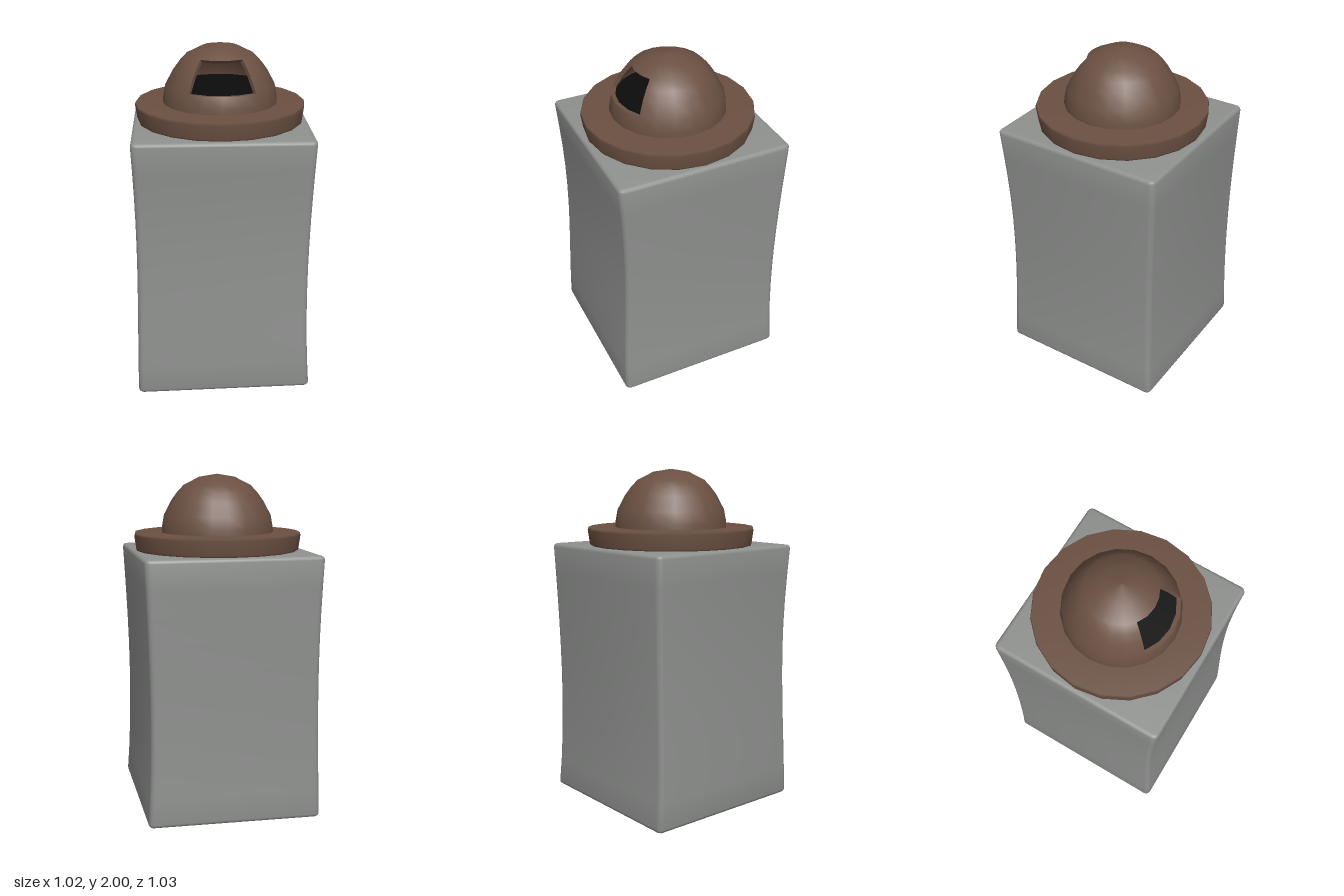
import * as THREE from 'three';
import { toCreasedNormals } from 'three/addons/utils/BufferGeometryUtils.js';

const stone = new THREE.MeshStandardMaterial({ color: 0x8f918f });
stone.name = 'grey stone';
const clay = new THREE.MeshStandardMaterial({ color: 0x6b5042, side: THREE.DoubleSide });
clay.name = 'brown clay';
const dark = new THREE.MeshStandardMaterial({ color: 0x0c0c0c, side: THREE.DoubleSide });
dark.name = 'black soot';

const SIDES = 20;
const BODY_H = 1.555;

function part(name, geometry, material) {
  const mesh = new THREE.Mesh(geometry, material);
  mesh.name = name;
  return mesh;
}

const lathe = (points) =>
  new THREE.LatheGeometry(points.map(([r, y]) => new THREE.Vector2(r, y)), SIDES);

// Square block with softened edges and a slightly worn waist
function pedestalGeometry() {
  const b = 0.022, w = 0.512 - b, d = 0.518 - b;
  const c = 0.012;
  const s = new THREE.Shape();
  s.moveTo(-w + c, -d);
  s.lineTo(w - c, -d);
  s.quadraticCurveTo(w, -d, w, -d + c);
  s.lineTo(w, d - c);
  s.quadraticCurveTo(w, d, w - c, d);
  s.lineTo(-w + c, d);
  s.quadraticCurveTo(-w, d, -w, d - c);
  s.lineTo(-w, -d + c);
  s.quadraticCurveTo(-w, -d, -w + c, -d);
  const geo = new THREE.ExtrudeGeometry(s, {
    depth: BODY_H - 2 * b, steps: 10, curveSegments: 3,
    bevelThickness: b, bevelSize: b, bevelSegments: 3,
  });
  geo.translate(0, 0, b).rotateX(-Math.PI / 2);
  const p = geo.attributes.position;
  for (let i = 0; i < p.count; i++) {
    const x = p.getX(i), y = p.getY(i), z = p.getZ(i);
    const t = THREE.MathUtils.clamp(y / BODY_H, 0, 1);
    const low = Math.sin(Math.PI * Math.pow(t, 0.8));
    const high = Math.sin(Math.PI * Math.pow(t, 1.35));
    p.setX(i, x * (1 - (x > 0 ? 0.05 * low : 0.03 * high)));
    p.setZ(i, z * (1 - (z > 0 ? 0.06 * high : 0.04 * low)));
    p.setY(i, y + 0.018 * (x + 0.5) * (1 - t));
  }
  return toCreasedNormals(geo, 0.7);
}

// Dome rows from base to crown; the opening lies between rows 2 and 5
const outer = [[0.335, 1.65], [0.333, 1.69], [0.32, 1.76], [0.275, 1.845],
  [0.24, 1.892], [0.2, 1.935], [0.105, 1.983], [0, 2]];
const inner = [[0.31, 1.65], [0.308, 1.69], [0.296, 1.76], [0.252, 1.835],
  [0.22, 1.878], [0.182, 1.918], [0.095, 1.962], [0, 1.978]];
const LOW = 2, HIGH = 5, HALF = 2;

// Turned shell with the front window's faces left out
function shellGeometry(rows) {
  const geo = lathe(rows);
  const n = rows.length, p = geo.attributes.position, kept = [];
  const idx = geo.index.array;
  for (let i = 0; i < idx.length; i += 3) {
    const tri = [idx[i], idx[i + 1], idx[i + 2]];
    const row = Math.min(...tri.map((v) => v % n));
    const x = tri.reduce((a, v) => a + p.getX(v), 0);
    const z = tri.reduce((a, v) => a + p.getZ(v), 0);
    const inside = Math.abs(Math.atan2(x, z)) < (HALF * 2 * Math.PI) / SIDES;
    if (!(inside && row >= LOW && row < HIGH)) kept.push(...tri);
  }
  geo.setIndex(kept);
  return geo;
}

// Strip joining the two shells around the window
function frameGeometry() {
  const loop = [];
  for (let i = -HALF; i < HALF; i++) loop.push([i, LOW]);
  for (let r = LOW; r < HIGH; r++) loop.push([HALF, r]);
  for (let i = HALF; i > -HALF; i--) loop.push([i, HIGH]);
  for (let r = HIGH; r > LOW; r--) loop.push([-HALF, r]);
  const at = (rows, [i, r]) => {
    const a = (i * 2 * Math.PI) / SIDES;
    return [rows[r][0] * Math.sin(a), rows[r][1], rows[r][0] * Math.cos(a)];
  };
  const pos = [];
  loop.forEach((k, j) => {
    const next = loop[(j + 1) % loop.length];
    const a = at(outer, k), b = at(outer, next), c = at(inner, next), d = at(inner, k);
    pos.push(...a, ...b, ...c, ...a, ...c, ...d);
  });
  const geo = new THREE.BufferGeometry();
  geo.setAttribute('position', new THREE.Float32BufferAttribute(pos, 3));
  geo.computeVertexNormals();
  return geo;
}

export function createModel() {
  const model = new THREE.Group();
  model.name = 'pedestalWithDome';

  model.add(part('pedestal', pedestalGeometry(), stone));

  // Wide round collar under the dome
  model.add(part('collar', lathe([[0.3, 1.55], [0.482, 1.55], [0.488, 1.565],
    [0.499, 1.645], [0.494, 1.66], [0.3, 1.66]]), clay));

  // Hollow dome with a front opening
  const dome = new THREE.Group();
  dome.name = 'dome';
  dome.add(part('domeOutside', shellGeometry(outer), clay));
  dome.add(part('domeInside', shellGeometry(inner), clay));
  dome.add(part('openingFrame', frameGeometry(), clay));
  model.add(dome);

  // Dark floor just below the sill
  const floor = part('domeFloor', new THREE.CircleGeometry(0.3, SIDES), dark);
  floor.rotation.x = -Math.PI / 2;
  floor.position.y = 1.752;
  model.add(floor);

  return model;
}
